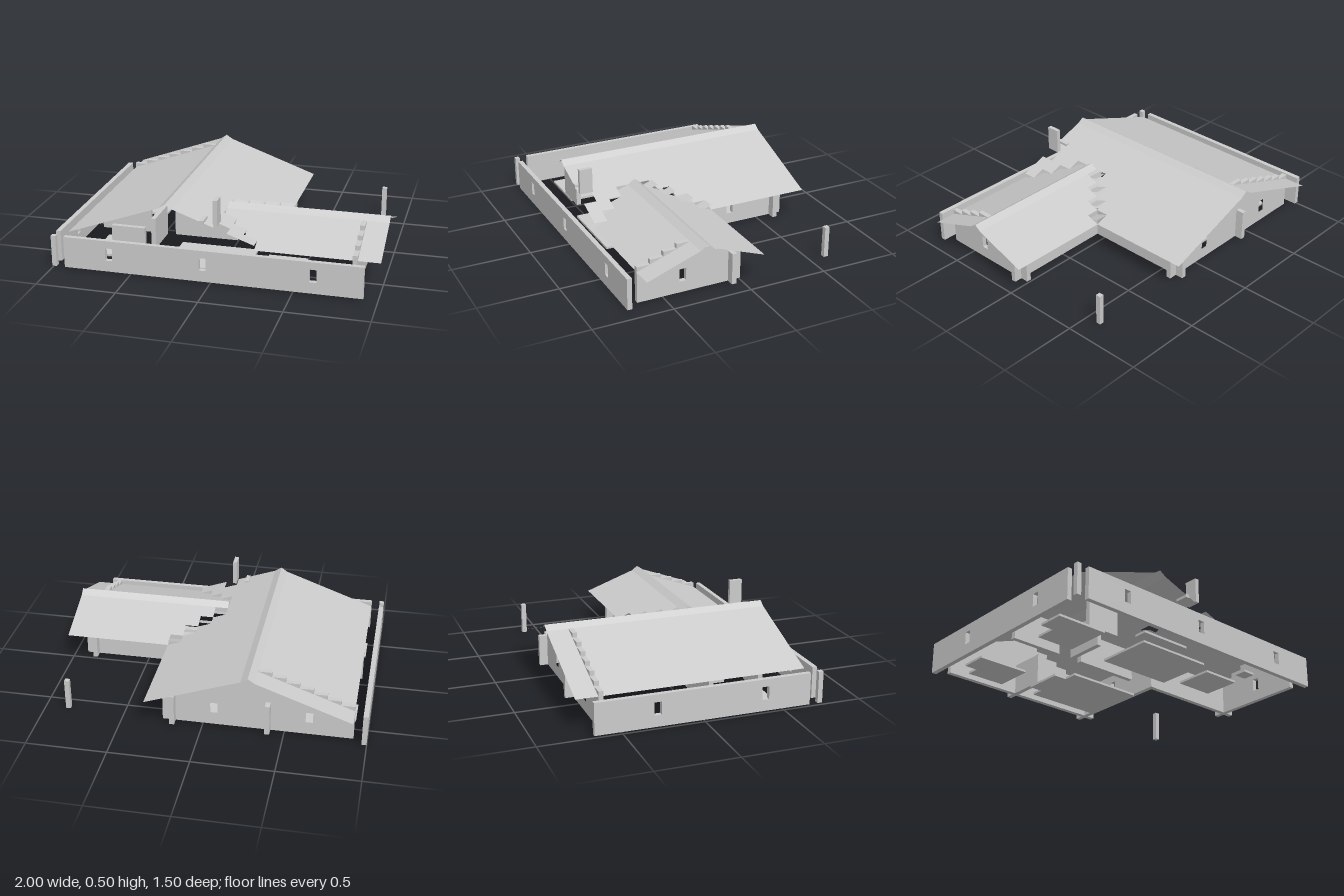
import * as THREE from 'three';

const C = 1 / 12;            // planning grid
const T = 0.03;              // wall thickness
const Y0 = 0.012, EAVE = 0.21;

export function createModel() {
  const house = new THREE.Group();
  house.name = 'house';
  const mat = new THREE.MeshStandardMaterial({ color: 0xcccccc, flatShading: true });
  const roofMat = new THREE.MeshStandardMaterial({ color: 0xcccccc, flatShading: true, side: THREE.DoubleSide });

  const add = (name, geo, m = mat) => {
    const mesh = new THREE.Mesh(geo, m);
    mesh.name = name;
    house.add(mesh);
    return mesh;
  };

  const box = (name, x0, x1, y0, y1, z0, z1) => {
    const mesh = add(name, new THREE.BoxGeometry(x1 - x0, y1 - y0, z1 - z0));
    mesh.position.set((x0 + x1) / 2, (y0 + y1) / 2, (z0 + z1) / 2);
  };

  // wall from outline points [u, y], with window holes, centred on a plane
  const wall = (name, axis, plane, pts, windows = []) => {
    const shape = new THREE.Shape(pts.map(p => new THREE.Vector2(...p)));
    for (const u of windows) {
      const w = 0.022, lo = 0.083, hi = 0.163;
      shape.holes.push(new THREE.Path([
        new THREE.Vector2(u - w, lo), new THREE.Vector2(u - w, hi),
        new THREE.Vector2(u + w, hi), new THREE.Vector2(u + w, lo)]));
    }
    const geo = new THREE.ExtrudeGeometry(shape, { depth: T, bevelEnabled: false });
    geo.translate(0, 0, -T / 2);
    if (axis === 'z') geo.rotateY(-Math.PI / 2);
    const mesh = add(name, geo);
    mesh.position[axis === 'z' ? 'x' : 'z'] = plane;
  };
  const rect = (a, b) => [[a, Y0], [b, Y0], [b, EAVE], [a, EAVE]];

  // stepped gable outline: columns rise, then fall
  const stepped = (start, dir, rise, total) => {
    const pts = [[start, Y0]];
    for (let i = 0; i < total; i++) {
      const y = EAVE + 0.03 * (i < rise ? i + 1 : 2 * rise - 1 - i);
      pts.push([start + dir * i * C, y], [start + dir * (i + 1) * C, y]);
    }
    pts.push([start + dir * total * C, Y0]);
    return pts;
  };

  // outer walls
  wall('frontWall', 'x', 0.735, rect(-0.918, 0.916), [-0.63, -0.045, 0.62]);
  wall('rightWall', 'z', -0.985, rect(-0.667, 0.667), [0.378, -0.29]);
  wall('backGable', 'x', -0.6, stepped(-0.918, 1, 7, 14), [-0.65, -0.07]);
  wall('wingGable', 'z', 0.85, stepped(0.667, -1, 4, 8), [0.378]);
  wall('mainSideWall', 'z', 0.182, rect(-0.667, 0.083), [-0.29]);
  wall('wingBackWall', 'x', 0.067, rect(0.167, 0.916));

  // partitions
  wall('partition', 'z', -0.402, rect(-0.667, -0.35));
  wall('partition', 'x', 0.067, rect(-0.918, -0.585));
  wall('partition', 'x', 0.067, rect(-0.418, 0.0));
  wall('partition', 'z', -0.485, rect(0.083, 0.333));
  wall('partition', 'x', 0.483, rect(-0.7, -0.485));

  // free posts and the upright panels at the roof
  box('cornerPost', -1, -0.97, Y0, EAVE, 0.72, 0.75);
  box('yardPost', 0.835, 0.865, Y0, EAVE, -0.615, -0.585);
  box('chimneyPanel', 0, 0.026, 0.34, 0.5, 0.583, 0.667);
  box('roofPanel', -0.083, -0.057, 0.343, 0.366, 0.583, 0.667);

  // floor slabs
  for (const [x0, x1, z0, z1] of [
    [-0.333, 0.165, -0.5, -0.08], [-0.418, -0.333, -0.417, -0.167],
    [-0.835, -0.585, -0.5, -0.25], [-0.918, -0.835, -0.417, -0.25],
    [-0.835, -0.585, 0.2, 0.5], [-0.918, -0.835, 0.333, 0.5],
    [-0.333, 0.165, 0.2, 0.56], [0.25, 0.5, 0.26, 0.5],
    [-0.418, -0.083, 0.58, 0.66], [0.417, 0.5, 0.583, 0.66]
  ]) box('floorSlab', x0, x1, 0, 0.014, z0, z1);

  // flat roof sheets given by four corners
  const verts = [];
  const quad = (a, b, c, d) => verts.push(...a, ...b, ...c, ...a, ...c, ...d);
  const finish = name => {
    const geo = new THREE.BufferGeometry();
    geo.setAttribute('position', new THREE.Float32BufferAttribute(verts.splice(0), 3));
    geo.computeVertexNormals();
    add(name, geo, roofMat);
  };
  // strip sloping along x, running in z
  const stripZ = (x0, y0, x1, y1, z0, z1) =>
    quad([x0, y0, z0], [x0, y0, z1], [x1, y1, z1], [x1, y1, z0]);
  // strip sloping along z, running in x
  const stripX = (z0, y0, z1, y1, x0, x1) =>
    quad([x0, y0, z0], [x0, y1, z1], [x1, y1, z1], [x1, y0, z0]);

  // main roof: far slope, ridge cap, near slope down to the wing
  const B = -0.75, F = 0.665;
  stripZ(-0.918, EAVE, -0.335, 0.42, B, F);
  stripZ(-0.335, 0.42, -0.295, 0.448, B, F);
  stripZ(-0.295, 0.448, -0.252, 0.42, B, F);
  stripZ(-0.252, 0.42, 0, 0.33, B, F);
  const frontRuns = [[5 * C, 7 * C], [6 * C, 8 * C], [7 * C, 8 * C]];
  for (let k = 0; k < 4; k++) {
    const s = [k * C, 0.33 - 0.03 * k, (k + 1) * C, 0.3 - 0.03 * k];
    stripZ(...s, B, (2 - k) * C);
    if (frontRuns[k]) stripZ(...s, ...frontRuns[k]);
  }
  finish('mainRoof');

  // wing roof: each lower row starts one grid step further out
  stripX(3 * C, 0.33, 0.29, 0.36, 0, 1);
  stripX(0.29, 0.36, 4 * C, 0.33, 0, 1);
  for (let k = 0; k < 4; k++) {
    const hi = 0.33 - 0.03 * k, lo = hi - 0.03;
    stripX((2 - k) * C, lo, (3 - k) * C, hi, (k + 1) * C, 1);
    stripX((4 + k) * C, hi, (5 + k) * C, lo, k * C, 1);
  }
  finish('wingRoof');

  // upturned tiles along the valley
  for (let k = 0; k < 4; k++)
    stripX((2 - k) * C, 0.33 - 0.03 * k, (3 - k) * C, 0.3 - 0.03 * k, k * C, (k + 1) * C);
  finish('valleyTiles');

  return house;
}
